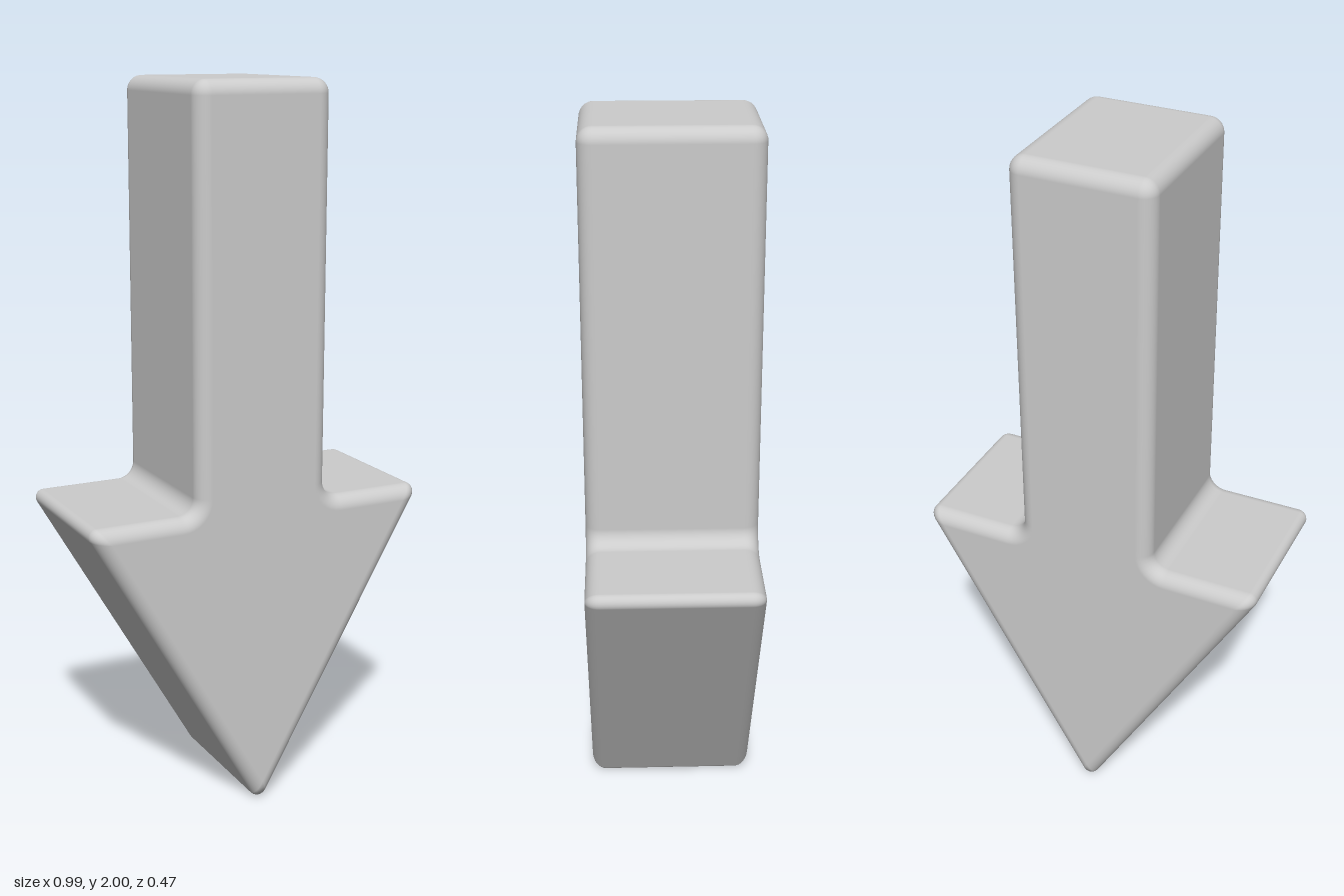
import * as THREE from 'three';

const HALF_DEPTH = 0.237, BEVEL = 0.04, FILLET = 0.045;
const ARC_STEPS = 8, BEVEL_STEPS = 8;

// Sharp outline, counter-clockwise from the tip
const half = [[0.512, 0.87], [0.195, 0.87], [0.195, 2]];
const outline = [[0, -0.023], ...half, ...half.map(([x, y]) => [-x, y]).reverse()]
  .map(([x, y]) => new THREE.Vector2(x, y));

// Outline moved inwards by inset, with rounded corners; returns points and outward normals
function roundedOutline(inset, roundness) {
  const n = outline.length, points = [], normals = [];
  const edgeNormal = (i) => {
    const d = outline[(i + 1) % n].clone().sub(outline[i % n]).normalize();
    return new THREE.Vector2(d.y, -d.x);
  };
  outline.forEach((corner, i) => {
    const n0 = edgeNormal(i + n - 1), n1 = edgeNormal(i);
    const turn = Math.atan2(n0.cross(n1), n0.dot(n1));
    // Convex corners get a constant setback; inner corners get a fillet (negative radius)
    const radius = turn > 0 ? BEVEL / Math.tan(turn / 2) * roundness : -(FILLET + inset);
    const miter = n0.clone().add(n1).divideScalar(1 + n0.dot(n1));
    const center = corner.clone().addScaledVector(miter, -(inset + radius));
    for (let s = 0; s <= ARC_STEPS; s++) {
      const normal = n0.clone().rotateAround(new THREE.Vector2(), turn * s / ARC_STEPS);
      normals.push(normal);
      points.push(center.clone().addScaledVector(normal, radius));
    }
  });
  return { points, normals };
}

// Loft of outlines from front to back, closed by a flat cap at each end
function arrowGeometry() {
  const position = [], normal = [], index = [];
  let count = 0, rings = 0, capPoints;
  for (const side of [1, -1]) {
    for (let k = 0; k <= BEVEL_STEPS; k++) {
      const t = k / BEVEL_STEPS;
      const a = (side > 0 ? 1 - t : -t) * Math.PI / 2;
      const c = Math.cos(a), s = Math.sin(a);
      const { points, normals } = roundedOutline(BEVEL * (1 - c), c);
      capPoints = points;
      count = points.length;
      points.forEach((p, i) => {
        position.push(p.x, p.y, side * (HALF_DEPTH - BEVEL) + BEVEL * s);
        normal.push(normals[i].x * c, normals[i].y * c, s);
      });
      rings++;
    }
  }
  for (let k = 0; k < rings - 1; k++) {
    for (let i = 0; i < count; i++) {
      const j = (i + 1) % count, a = k * count, b = a + count;
      index.push(a + i, b + i, b + j, a + i, b + j, a + j);
    }
  }
  const last = (rings - 1) * count;
  for (const [a, b, c] of THREE.ShapeUtils.triangulateShape(capPoints, [])) {
    index.push(a, b, c, last + a, last + c, last + b);
  }
  const geometry = new THREE.BufferGeometry();
  geometry.setAttribute('position', new THREE.Float32BufferAttribute(position, 3));
  geometry.setAttribute('normal', new THREE.Float32BufferAttribute(normal, 3));
  geometry.setIndex(index);
  return geometry;
}

export function createModel() {
  const group = new THREE.Group();
  group.name = 'downArrow';
  const arrow = new THREE.Mesh(arrowGeometry(), new THREE.MeshStandardMaterial({ color: 0xcccccc }));
  arrow.name = 'arrowBody';
  group.add(arrow);
  return group;
}
